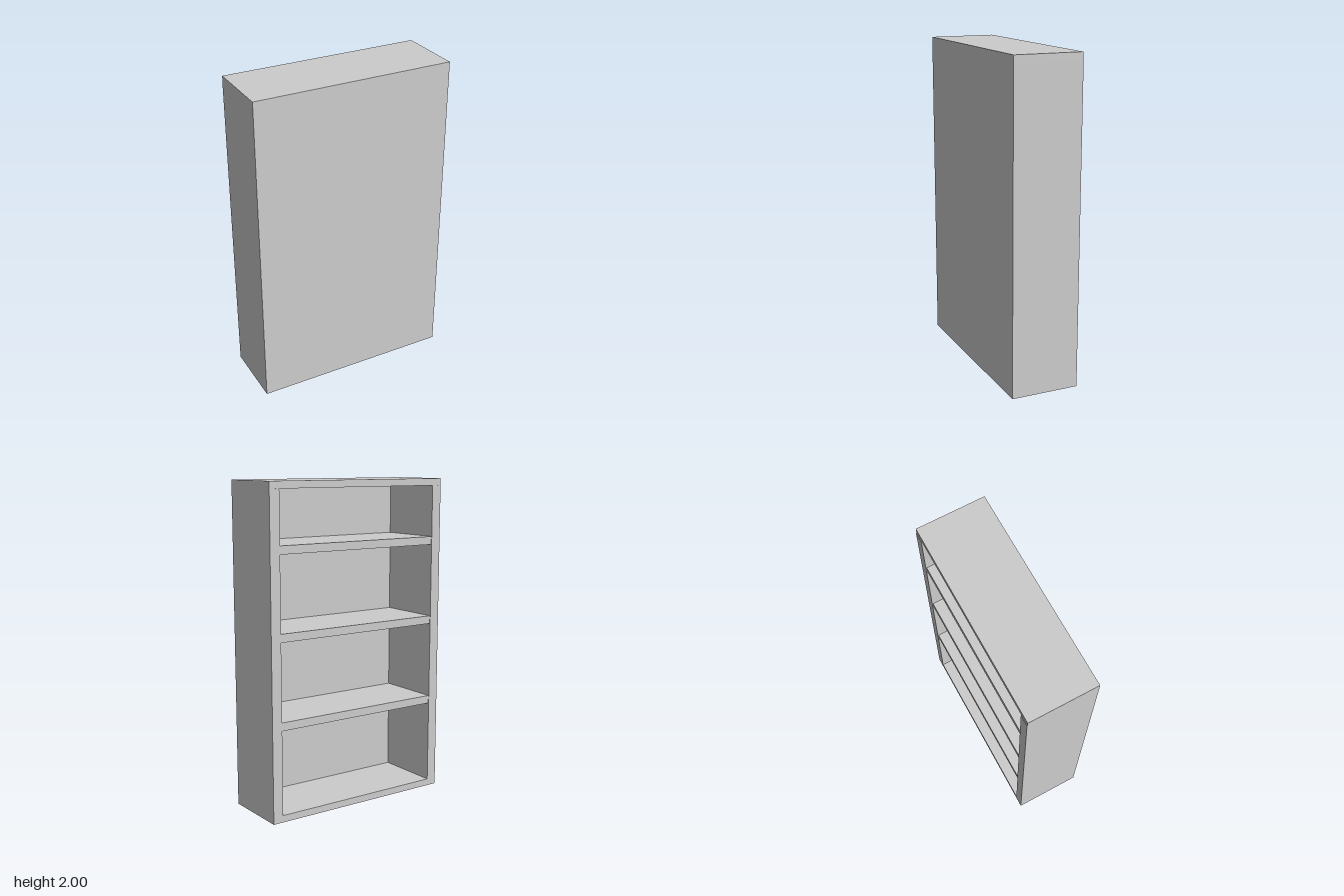
import * as THREE from 'three';

const material = new THREE.MeshStandardMaterial({ color: 0xcccccc });

// Box given by its extents along each axis
function panel(name, [x0, x1], [y0, y1], [z0, z1]) {
  const mesh = new THREE.Mesh(new THREE.BoxGeometry(x1 - x0, y1 - y0, z1 - z0), material);
  mesh.name = name;
  mesh.position.set((x0 + x1) / 2, (y0 + y1) / 2, (z0 + z1) / 2);
  return mesh;
}

export function createModel() {
  const group = new THREE.Group();
  group.name = 'bookcase';

  const halfWidth = 0.625, halfDepth = 0.2125, height = 2;
  const board = 0.043, sideThickness = 0.065, sheet = 0.005;
  const inner = halfWidth - sideThickness;
  const wall = halfDepth - sheet;

  // Base and top boards
  group.add(panel('bottomBoard', [-halfWidth, halfWidth], [0, board], [-halfDepth, halfDepth]));
  group.add(panel('topBoard', [-halfWidth, halfWidth], [height - board, height], [-0.2095, halfDepth]));

  // Upright sides, a touch proud of the top board at the open face
  group.add(panel('leftSide', [inner, halfWidth], [board, height - board], [-halfDepth, halfDepth]));
  group.add(panel('rightSide', [-halfWidth, -inner], [board, height - board], [-halfDepth, halfDepth]));

  // Thin sheet closing the +z face
  group.add(panel('closingSheet', [-inner, inner], [board, height - board], [wall, halfDepth]));

  // Shelves, slightly recessed from the open face
  [0.61, 1.135, 1.64].forEach((top, i) => {
    group.add(panel(`shelf${i + 1}`, [-inner, inner], [top - 0.05, top], [-0.208, wall]));
  });

  return group;
}
